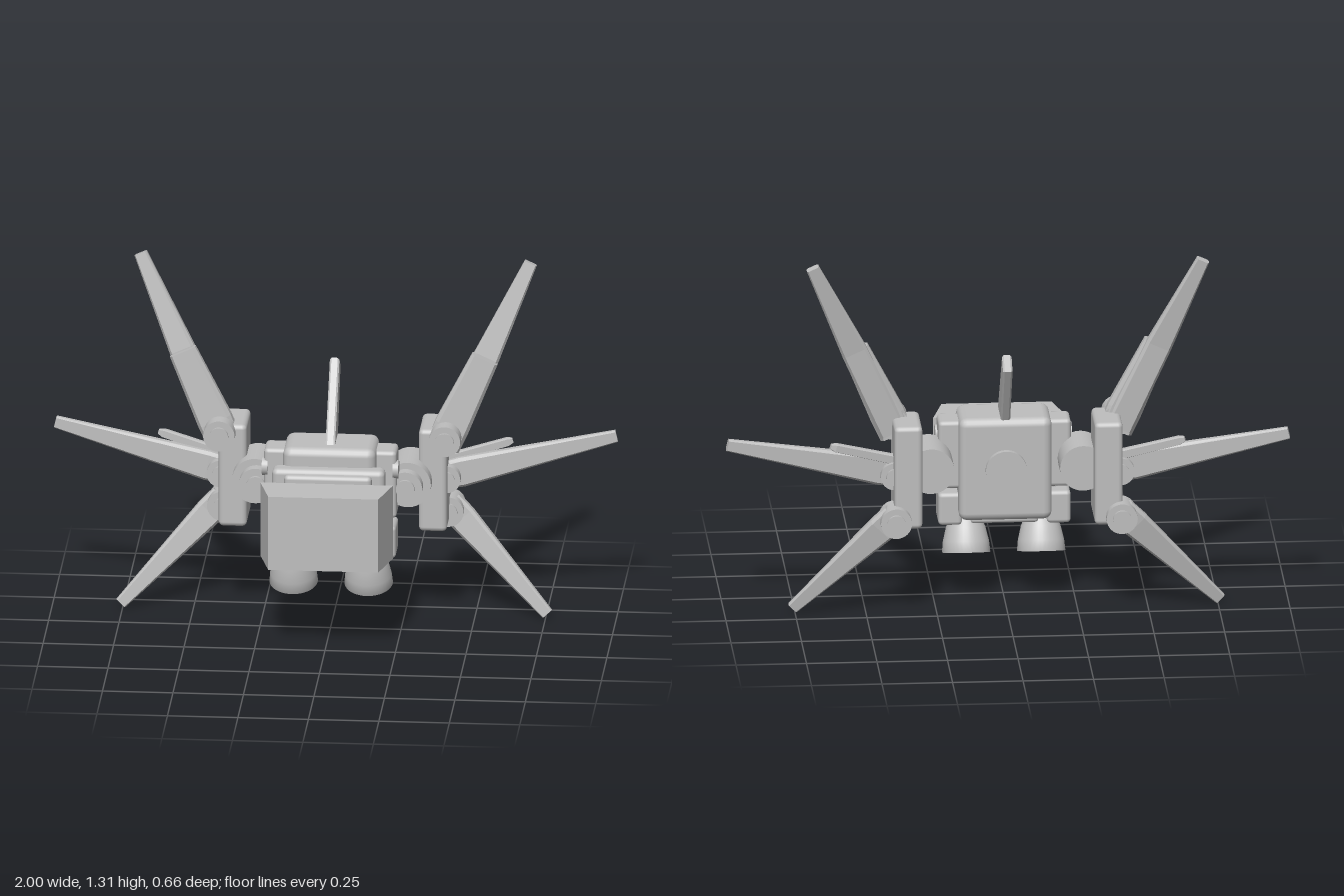
import * as THREE from 'three';
import { RoundedBoxGeometry } from 'three/addons/geometries/RoundedBoxGeometry.js';

const grey = new THREE.MeshStandardMaterial({ color: 0xbebebe });
grey.name = 'hull grey';

function add(parent, name, geometry) {
  const mesh = new THREE.Mesh(geometry, grey);
  mesh.name = name;
  parent.add(mesh);
  return mesh;
}

// Soft-edged box given by its limits on each axis
function box(parent, name, [x0, x1], [y0, y1], [z0, z1], r = 0.015) {
  const mesh = add(parent, name, new RoundedBoxGeometry(x1 - x0, y1 - y0, z1 - z0, 2, r));
  mesh.position.set((x0 + x1) / 2, (y0 + y1) / 2, (z0 + z1) / 2);
  return mesh;
}

// Cylinder lying along z
function drum(parent, name, x, y, z0, z1, r) {
  const mesh = add(parent, name, new THREE.CylinderGeometry(r, r, z1 - z0, 32).rotateX(Math.PI / 2));
  mesh.position.set(x, y, (z0 + z1) / 2);
}

// Tapered blade with bevelled edges; each section is [x, y, z, width, thickness]
const EDGE = [[1, 0.5], [0.8, 1], [-0.8, 1], [-1, 0.5], [-1, -0.5], [-0.8, -1], [0.8, -1], [1, -0.5]];
function blade(parent, name, sections) {
  const centre = sections.map((s) => new THREE.Vector3(s[0], s[1], s[2]));
  const d = centre.at(-1).clone().sub(centre[0]).normalize();
  const u = new THREE.Vector3(d.y, -d.x, 0).normalize();
  const v = d.clone().cross(u);
  const n = EDGE.length, pos = [], index = [];
  sections.forEach((s, i) => {
    for (const [a, b] of EDGE) {
      const p = centre[i].clone().addScaledVector(u, a * s[3] / 2).addScaledVector(v, b * s[4] / 2);
      pos.push(p.x, p.y, p.z);
    }
  });
  const last = (sections.length - 1) * n;
  for (let j = 0; j < n; j++) {
    const k = (j + 1) % n;
    for (let i = 0; i < last; i += n) index.push(i + j, i + k, i + n + k, i + j, i + n + k, i + n + j);
    if (j > 0 && j < n - 1) index.push(0, k, j, last, last + j, last + k);
  }
  const g = new THREE.BufferGeometry();
  g.setAttribute('position', new THREE.Float32BufferAttribute(pos, 3));
  g.setIndex(index);
  const flat = g.toNonIndexed();
  flat.computeVertexNormals();
  add(parent, name, flat);
}

function polygon(points) {
  return new THREE.Shape(points.map(([x, y]) => new THREE.Vector2(x, y)));
}

// Everything that exists once per side, built on +x
function buildSide() {
  const side = new THREE.Group();

  // Pods on the flank of the pack
  box(side, 'upperPod', [0.15, 0.235], [0.43, 0.68], [-0.09, 0.02]);
  box(side, 'lowerPod', [0.15, 0.235], [0.29, 0.41], [-0.08, 0.05]);
  const peg = add(side, 'podPeg', new THREE.CylinderGeometry(0.032, 0.032, 0.02, 24).rotateZ(Math.PI / 2));
  peg.position.set(0.232, 0.61, 0);

  // Shoulder hinge and wing mount
  drum(side, 'hinge', 0.27, 0.538, -0.215, -0.04, 0.083);
  drum(side, 'hingeCap', 0.265, 0.538, -0.05, 0.0, 0.06);
  drum(side, 'hingePin', 0.265, 0.538, -0.05, 0.012, 0.033);
  box(side, 'wingMount', [0.305, 0.405], [0.347, 0.727], [-0.287, -0.09], 0.017);

  // Pivots of the three wings: [y, back, front, radius]
  for (const [y, z0, z1, r] of [[0.698, -0.16, -0.05, 0.056], [0.53, -0.24, -0.13, 0.05], [0.38, -0.32, -0.215, 0.055]]) {
    drum(side, 'wingPivot', 0.4, y, z0, z1, r);
    drum(side, 'pivotPin', 0.4, y, z0 - 0.01, z1 + 0.01, r * 0.6);
  }

  // Upper wing: thick sleeve with a long blade
  blade(side, 'upperWingSleeve', [[0.39, 0.66, -0.133, 0.12, 0.06], [0.42, 0.73, -0.135, 0.125, 0.06], [0.536, 0.98, -0.152, 0.098, 0.045]]);
  blade(side, 'upperWingBlade', [[0.4, 0.67, -0.145, 0.1, 0.05], [0.54, 0.98, -0.175, 0.092, 0.045], [0.692, 1.313, -0.237, 0.046, 0.03]]);

  // Middle wing with its short arm
  blade(side, 'middleWing', [[0.4, 0.533, -0.185, 0.1, 0.05], [0.45, 0.543, -0.19, 0.108, 0.05], [0.995, 0.668, -0.255, 0.043, 0.025]]);
  blade(side, 'middleWingArm', [[0.4, 0.585, -0.205, 0.035, 0.035], [0.61, 0.643, -0.235, 0.03, 0.03], [0.628, 0.648, -0.238, 0.018, 0.018]]);

  // Lower wing
  blade(side, 'lowerWing', [[0.4, 0.395, -0.27, 0.1, 0.045], [0.45, 0.345, -0.26, 0.1, 0.045], [0.757, 0.027, -0.163, 0.042, 0.026]]);

  // Thruster: hollow bell, neck and shoulder
  const profile = [[0, 0.12], [0.045, 0.11], [0.065, 0.06], [0.077, 0], [0.086, 0], [0.082, 0.04], [0.07, 0.09],
    [0.053, 0.13], [0.048, 0.15], [0.075, 0.18], [0.08, 0.24], [0.06, 0.27], [0, 0.28]];
  const nozzle = add(side, 'thruster', new THREE.LatheGeometry(profile.map(([x, y]) => new THREE.Vector2(x, y)), 36));
  nozzle.position.set(0.133, 0.175, -0.03);
  nozzle.rotation.x = 0.284;
  return side;
}

export function createModel() {
  const model = new THREE.Group();
  model.name = 'wingedBackpack';

  // Pack body and its front panel
  box(model, 'body', [-0.165, 0.165], [0.32, 0.7], [-0.135, 0.07], 0.03);
  box(model, 'frontFrame', [-0.2, 0.2], [0.31, 0.635], [0.04, 0.11], 0.02);
  box(model, 'frontPanel', [-0.155, 0.155], [0.33, 0.62], [0.07, 0.135], 0.015);
  box(model, 'bodyBase', [-0.12, 0.12], [0.295, 0.34], [-0.08, 0.09], 0.012);

  // Round port on the back
  drum(model, 'backPort', 0, 0.52, -0.165, -0.12, 0.06);
  drum(model, 'backPortLid', 0, 0.52, -0.175, -0.155, 0.073);

  // Swept top fin
  const fin = new THREE.ExtrudeGeometry(
    polygon([[0.02, 0.69], [-0.11, 0.68], [-0.238, 0.912], [-0.187, 0.95]]),
    { depth: 0.022, bevelThickness: 0.006, bevelSize: 0.005, bevelSegments: 1 });
  add(model, 'topFin', fin.rotateY(-Math.PI / 2).translate(0.011, 0, 0));

  // Free-standing front block, narrower toward the front
  const block = new THREE.ExtrudeGeometry(
    polygon([[-0.235, -0.177], [-0.195, -0.332], [0.195, -0.332], [0.235, -0.177]]),
    { depth: 0.273, bevelEnabled: false });
  add(model, 'frontBlock', block.rotateX(-Math.PI / 2).translate(0, 0.336, 0));

  // Mirrored flanks
  const left = buildSide();
  left.name = 'leftSide';
  const right = buildSide();
  right.name = 'rightSide';
  right.scale.x = -1;
  model.add(left, right);
  return model;
}
